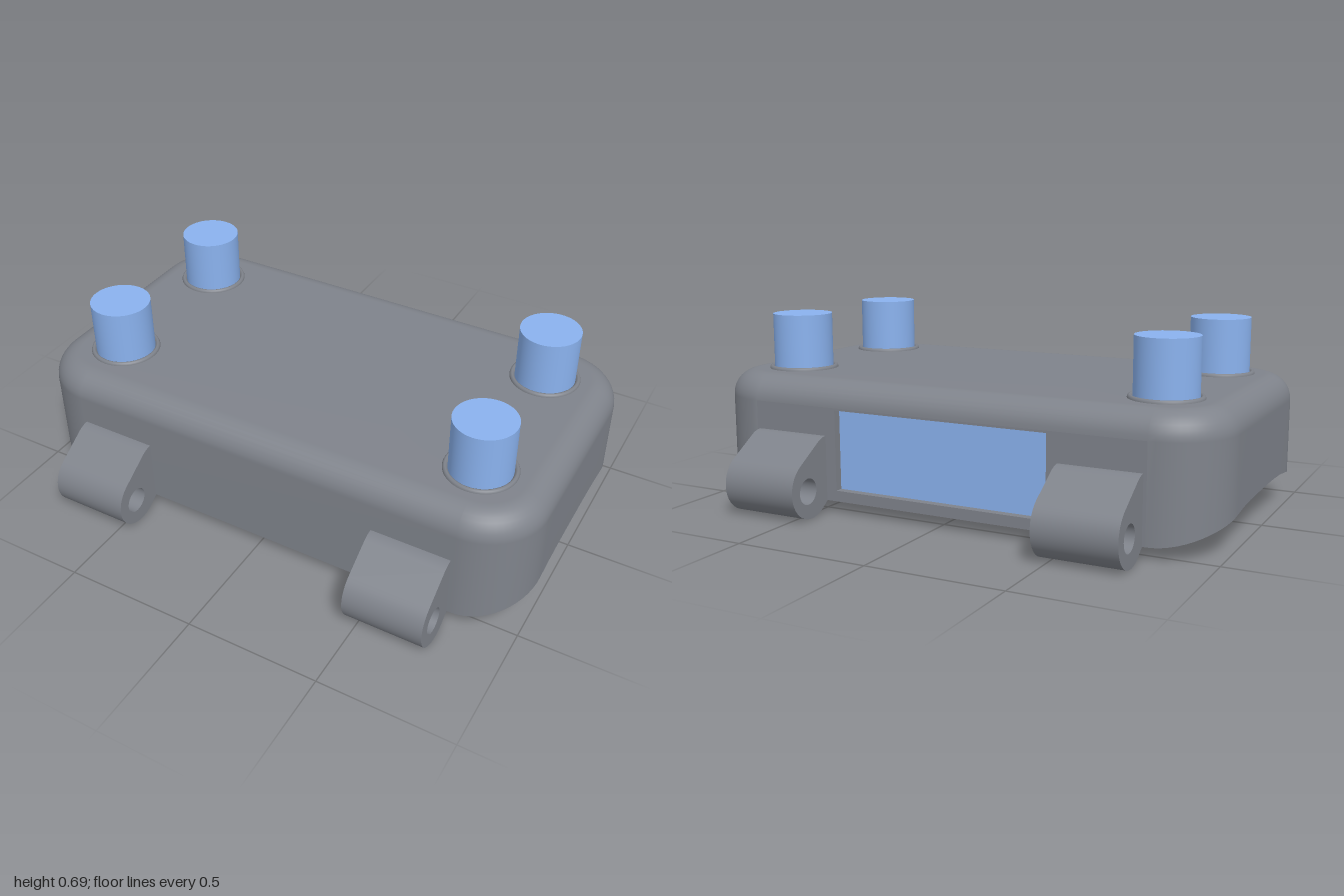
import * as THREE from 'three';
import { toCreasedNormals } from 'three/addons/utils/BufferGeometryUtils.js';

const HX = 1, HZ = 0.555, CORNER = 0.23, TOP = 0.485, FILLET = 0.095;
const ARC = 14, END = 8; // segments per corner and along each short end

const grey = new THREE.MeshStandardMaterial({ color: 0x7f838b });
const blue = new THREE.MeshStandardMaterial({ color: 0x8ab2ee });

// Height of the arched underside
const underY = (z) => 0.135 - 0.09 * Math.pow(Math.abs(z) / HZ, 3.3);

// Rounded rectangle seen from above, counter-clockwise, pulled in by an inset
function outline(inset = 0) {
  const cx = HX - CORNER, cz = HZ - CORNER, r = CORNER - inset;
  const signs = [[1, -1], [-1, -1], [-1, 1], [1, 1]];
  const points = [];
  signs.forEach(([sx, sz], k) => {
    for (let i = 0; i <= ARC; i++) {
      const a = (k + i / ARC) * Math.PI / 2;
      points.push([sx * cx + r * Math.cos(a), sz * cz - r * Math.sin(a)]);
    }
    if (k % 2 === 1) {
      for (let i = 1; i < END; i++) {
        points.push([sx * (HX - inset), sz * cz * (1 - 2 * i / END)]);
      }
    }
  });
  return points;
}

// Skin between successive rings; skip(ring, segment) leaves an opening
function loft(rings, skip = () => false) {
  const n = rings[0].length, index = [];
  for (let j = 0; j < rings.length - 1; j++) {
    for (let i = 0; i < n; i++) {
      if (skip(j, i)) continue;
      const a = j * n + i, b = j * n + (i + 1) % n;
      index.push(a, b, b + n, a, b + n, a + n);
    }
  }
  const geometry = new THREE.BufferGeometry();
  geometry.setAttribute('position', new THREE.Float32BufferAttribute(rings.flat(2), 3));
  geometry.setIndex(index);
  geometry.computeVertexNormals();
  return geometry;
}

function add(parent, name, geometry, material = grey) {
  const mesh = new THREE.Mesh(geometry, material);
  mesh.name = name;
  parent.add(mesh);
  return mesh;
}

function rectangle(Type, x, y0, y1) {
  const p = new Type();
  p.moveTo(-x, y0);
  p.lineTo(x, y0);
  p.lineTo(x, y1);
  p.lineTo(-x, y1);
  p.closePath();
  return p;
}

function createBody() {
  const body = new THREE.Group();
  body.name = 'body';

  // Walls, rounded upper edge and top
  const shell = [outline().map(([x, z]) => [x, underY(z), z])];
  for (let j = 0; j <= 8; j++) {
    const t = j / 8 * Math.PI / 2;
    const y = TOP - FILLET + FILLET * Math.sin(t);
    shell.push(outline(FILLET * (1 - Math.cos(t))).map(([x, z]) => [x, y, z]));
  }
  shell.push(outline().map(() => [0, TOP, 0]));
  add(body, 'shell', loft(shell, (j, i) => j === 0 && i === ARC));

  // Arched underside
  const under = [];
  for (let j = 0; j <= 16; j++) {
    const s = j / 16;
    under.push(outline().map(([x, z]) => [x * s, underY(z * s), z * s]));
  }
  add(body, 'underside', loft(under));

  // Flat back wall with a recessed window
  const wall = rectangle(THREE.Shape, HX - CORNER, underY(HZ), TOP - FILLET);
  wall.holes.push(rectangle(THREE.Path, 0.42, 0.085, 0.382));
  const wallGeometry = new THREE.ExtrudeGeometry(wall, { depth: 0.05, bevelEnabled: false });
  add(body, 'backWall', wallGeometry.translate(0, 0, -HZ));

  const panel = new THREE.BoxGeometry(0.84, 0.297, 0.03);
  add(body, 'backPanel', panel, blue).position.set(0, 0.2335, -HZ + 0.045);
  return body;
}

// Mounting lug: side profile with a pin hole, extruded across its width
function lugGeometry() {
  const width = 0.297, k = 10; // built enlarged so close vertices stay distinct
  const deg = Math.PI / 180;
  const profile = new THREE.Shape();
  profile.moveTo(0.53 * k, 0.06 * k);
  profile.lineTo(0.53 * k, 0.285 * k);
  profile.lineTo(0.555 * k, 0.285 * k);
  profile.quadraticCurveTo(0.58 * k, 0.285 * k, 0.602 * k, 0.271 * k);
  profile.absarc(0.65 * k, 0.11 * k, 0.11 * k, 56 * deg, -122 * deg, true);
  profile.lineTo(0.555 * k, 0.043 * k);
  profile.closePath();
  const hole = new THREE.Path();
  hole.absarc(0.667 * k, 0.103 * k, 0.048 * k, 0, Math.PI * 2, false);
  profile.holes.push(hole);
  const geometry = new THREE.ExtrudeGeometry(profile, {
    depth: width * k, bevelEnabled: false, curveSegments: 16,
  });
  return toCreasedNormals(geometry, 0.6)
    .scale(1 / k, 1 / k, 1 / k)
    .rotateY(-Math.PI / 2)
    .translate(width / 2, 0, 0);
}

export function createModel() {
  const model = new THREE.Group();
  model.name = 'housing';
  model.add(createBody());

  const lug = lugGeometry();
  const post = new THREE.CylinderGeometry(0.112, 0.112, 0.225, 48);
  const collarProfile = [[0.131, 0.475], [0.131, 0.487], [0.128, 0.494], [0.122, 0.497], [0.116, 0.494], [0.112, 0.487]];
  const collar = new THREE.LatheGeometry(collarProfile.map(([r, y]) => new THREE.Vector2(r, y)), 48);

  for (const sx of [-1, 1]) {
    for (const sz of [-1, 1]) {
      const end = sz > 0 ? 'front' : 'back';
      const side = sx > 0 ? 'Left' : 'Right';

      // Lugs low on the front and back walls
      const mount = add(model, `${end}${side}Lug`, lug);
      mount.position.x = sx * 0.61;
      if (sz < 0) mount.rotation.y = Math.PI;

      // Posts standing in raised collars on the top
      add(model, `${end}${side}Post`, post, blue).position.set(sx * 0.74, 0.5825, sz * 0.3);
      add(model, `${end}${side}Collar`, collar).position.set(sx * 0.74, 0, sz * 0.3);
    }
  }
  return model;
}
